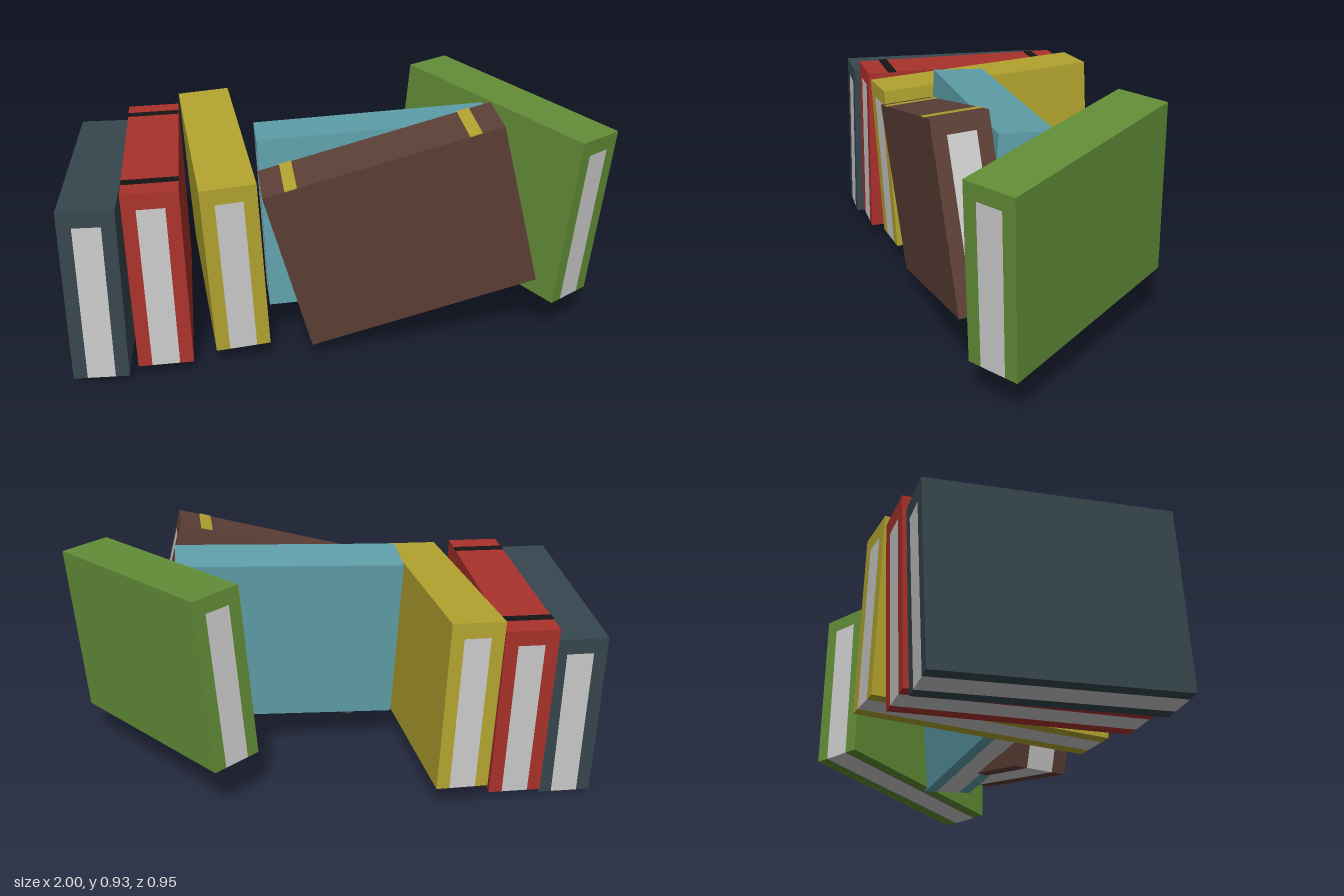
import * as THREE from 'three';

// Shared book proportions: cover board and spine thickness
const COVER = 0.05, SPINE = 0.06;
const mat = (color) => new THREE.MeshStandardMaterial({ color, flatShading: true });

// A book with its spine on top and the pages open at both ends and below
function makeBook({ name, color, size: [w, h, d], pos, rot, band }) {
  const book = new THREE.Group();
  book.name = name;
  const x = w / 2, y = h / 2, ix = x - COVER, iy = y - SPINE;

  // U-shaped cover, open at the bottom
  const outline = new THREE.Shape([
    [-x, -y], [-ix, -y], [-ix, iy], [ix, iy], [ix, -y], [x, -y], [x, y], [-x, y],
  ].map(([a, b]) => new THREE.Vector2(a, b)));
  const coverGeo = new THREE.ExtrudeGeometry(outline, { depth: d, bevelEnabled: false });
  coverGeo.translate(0, 0, -d / 2);
  const cover = new THREE.Mesh(coverGeo, mat(color));
  cover.name = 'cover';
  book.add(cover);

  // Page block, flush with the cover edges
  const pages = new THREE.Mesh(new THREE.BoxGeometry(ix * 2, h - SPINE, d), mat(0xcccccc));
  pages.name = 'pages';
  pages.position.y = -SPINE / 2;
  book.add(pages);

  // Pair of bands across the spine
  if (band) {
    for (const side of [-1, 1]) {
      const strip = new THREE.Mesh(new THREE.BoxGeometry(w, 0.004, band.width), mat(band.color));
      strip.name = 'spineBand';
      strip.position.set(0, y + 0.001, side * 0.33);
      book.add(strip);
    }
  }

  book.position.set(...pos);
  book.rotation.set(...rot, 'YXZ');
  return book;
}

export function createModel() {
  const model = new THREE.Group();
  model.name = 'bookRow';
  const quarter = Math.PI / 2;

  const books = [
    { name: 'navyBook', color: 0x37474f, size: [0.2, 0.66, 0.865],
      pos: [-0.867, 0.35, -0.01], rot: [-0.035, -0.075, 0] },
    { name: 'redBook', color: 0xa9322b, size: [0.2, 0.685, 0.86],
      pos: [-0.656, 0.388, -0.018], rot: [-0.03, -0.042, 0.02],
      band: { color: 0x151515, width: 0.035 } },
    { name: 'yellowBook', color: 0xb3a42f, size: [0.2, 0.665, 0.87],
      pos: [-0.412, 0.423, -0.035], rot: [0.025, 0.03, 0.052] },
    { name: 'tealBook', color: 0x5fa0aa, size: [0.2, 0.66, 0.865],
      pos: [0.156, 0.507, 0.15], rot: [-0.045, quarter - 0.045, -0.07] },
    { name: 'brownBook', color: 0x5d4037, size: [0.2, 0.665, 0.865],
      pos: [0.207, 0.5, 0.33], rot: [-0.265, quarter - 0.05, 0.06],
      band: { color: 0xb3a42f, width: 0.045 } },
    { name: 'greenBook', color: 0x628d37, size: [0.2, 0.667, 0.86],
      pos: [0.665, 0.53, 0.024], rot: [0.07, 0.556, -0.04] },
  ];
  for (const spec of books) model.add(makeBook(spec));
  return model;
}
